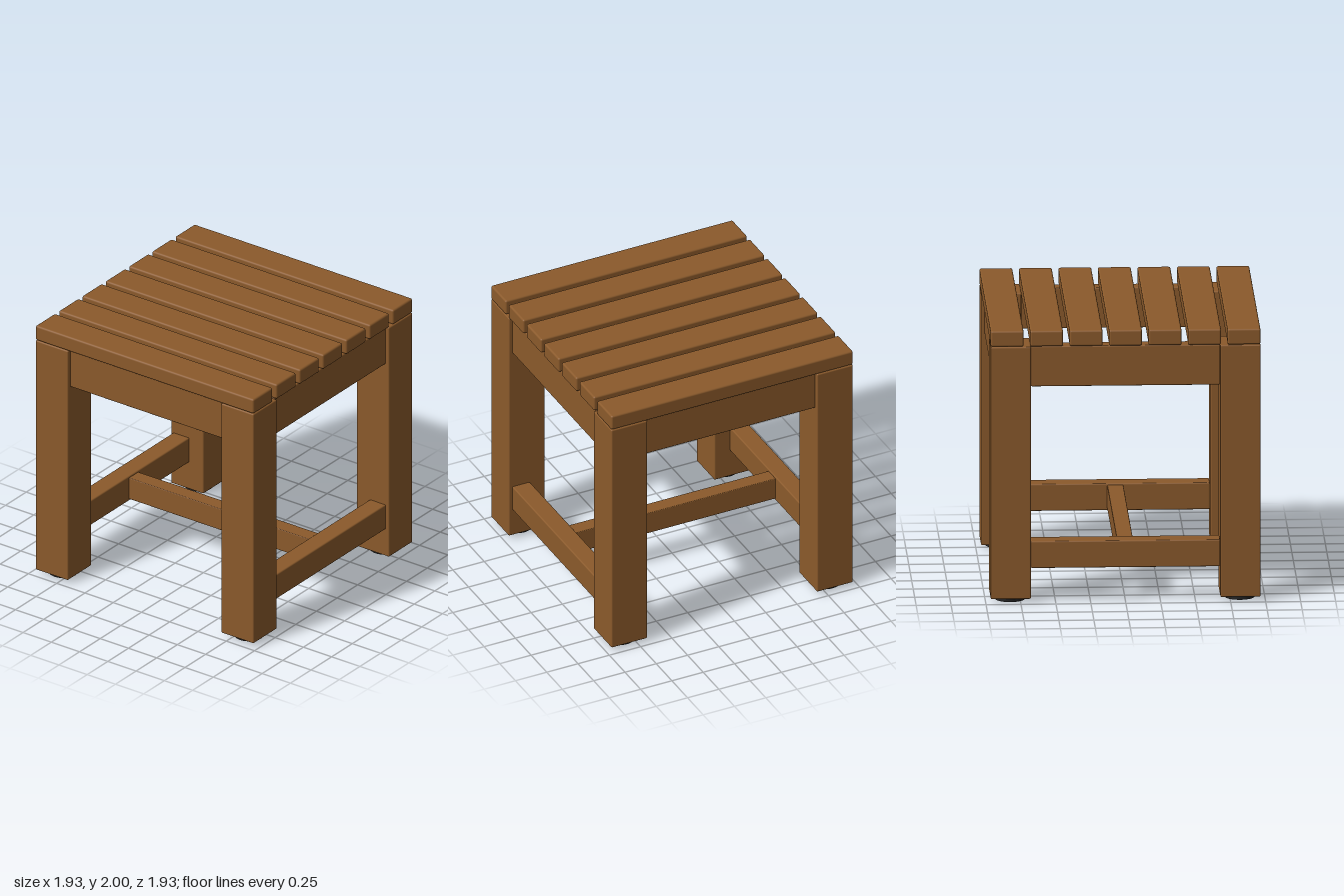
import * as THREE from 'three';
import { RoundedBoxGeometry } from 'three/addons/geometries/RoundedBoxGeometry.js';

const wood = new THREE.MeshStandardMaterial({ color: 0x8b5a2b });
wood.name = 'brown wood';
const rubber = new THREE.MeshStandardMaterial({ color: 0x222222 });
rubber.name = 'black rubber';

// Softly bevelled board given by its extents on each axis
function board(name, [x0, x1], [y0, y1], [z0, z1], bevel = 0.01) {
  const mesh = new THREE.Mesh(
    new RoundedBoxGeometry(x1 - x0, y1 - y0, z1 - z0, 2, bevel), wood);
  mesh.position.set((x0 + x1) / 2, (y0 + y1) / 2, (z0 + z1) / 2);
  mesh.name = name;
  return mesh;
}

// Range on the positive or negative side of an axis
const side = (s, a, b) => (s > 0 ? [a, b] : [-b, -a]);

export function createModel() {
  const stool = new THREE.Group();
  stool.name = 'slattedStool';
  const half = 0.965, inner = 0.677;
  const span = [-inner, inner];

  // Seat slats running front to back
  const slatWidth = 0.236, count = 7;
  const pitch = (2 * half - slatWidth) / (count - 1);
  for (let i = 0; i < count; i++) {
    const x = -half + i * pitch;
    stool.add(board('seatSlat', [x, x + slatWidth], [1.884, 2], [-half, half], 0.014));
  }

  // Legs with round rubber feet
  const footGeometry = new THREE.CylinderGeometry(0.106, 0.106, 0.035, 32);
  for (const sx of [-1, 1]) for (const sz of [-1, 1]) {
    stool.add(board('leg', side(sx, inner, half), [0.03, 1.882], side(sz, inner, half)));
    const foot = new THREE.Mesh(footGeometry, rubber);
    foot.position.set(sx * 0.821, 0.0175, sz * 0.821);
    foot.name = 'foot';
    stool.add(foot);
  }

  // Aprons under the seat and lower stretchers
  for (const s of [-1, 1]) {
    stool.add(board('endApron', span, [1.585, 1.882], side(s, 0.824, 0.94)));
    stool.add(board('sideApron', side(s, 0.824, 0.94), [1.585, 1.882], span));
    stool.add(board('stretcher', span, [0.25, 0.448], side(s, 0.798, 0.94)));
  }

  // Centre rail joining the two stretchers
  stool.add(board('centreRail', [-0.058, 0.058], [0.265, 0.435], [-0.805, 0.805], 0.006));
  return stool;
}
